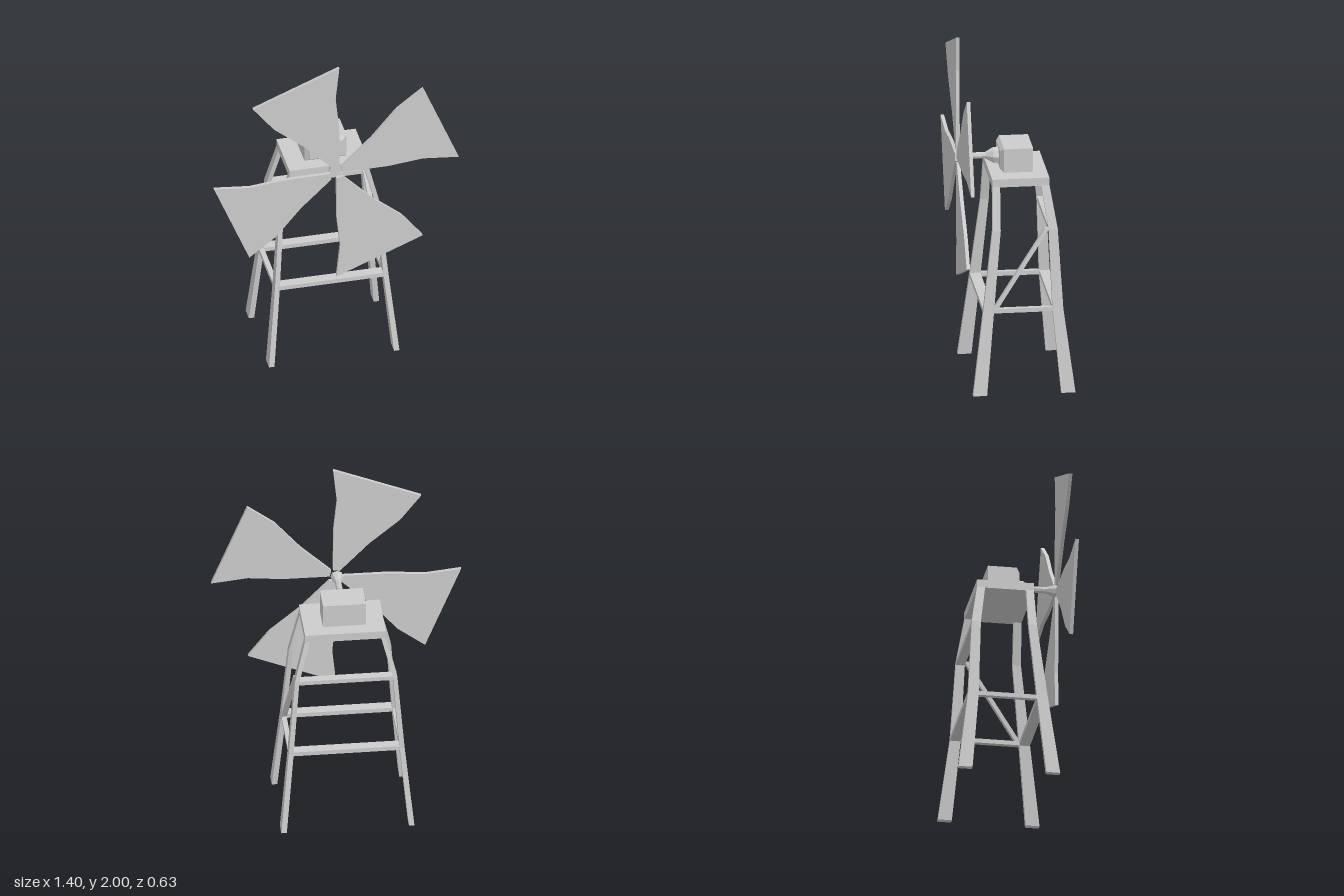
import * as THREE from 'three';

const material = new THREE.MeshStandardMaterial({ color: 0xcccccc, flatShading: true });

// Closed solid from equal-length rings, each counter-clockwise seen from the far end
function loft(rings) {
  const n = rings[0].length, index = [];
  rings.slice(1).forEach((_, i) => {
    for (let j = 0; j < n; j++) {
      const a = i * n + j, b = i * n + (j + 1) % n;
      index.push(a, b, b + n, a, b + n, a + n);
    }
  });
  const last = (rings.length - 1) * n;
  for (let j = 1; j < n - 1; j++) {
    index.push(0, j + 1, j, last, last + j, last + j + 1);
  }
  const g = new THREE.BufferGeometry();
  g.setAttribute('position', new THREE.Float32BufferAttribute(rings.flat(2), 3));
  g.setIndex(index);
  const flat = g.toNonIndexed();
  flat.computeVertexNormals();
  return flat;
}

// Rectangular rings lying across y or across z
const ringY = (y, x0, x1, z0, z1) => [[x0, y, z1], [x1, y, z1], [x1, y, z0], [x0, y, z0]];
const ringZ = (z, x0, x1, y0, y1) => [[x0, y0, z], [x1, y0, z], [x1, y1, z], [x0, y1, z]];

export function createModel() {
  const model = new THREE.Group();
  model.name = 'windmill';

  const add = (name, geometry, parent = model) => {
    const mesh = new THREE.Mesh(geometry, material);
    mesh.name = name;
    parent.add(mesh);
    return mesh;
  };
  const box = (name, x0, x1, y0, y1, z0, z1) => {
    const g = new THREE.BoxGeometry(x1 - x0, y1 - y0, z1 - z0);
    g.translate((x0 + x1) / 2, (y0 + y1) / 2, (z0 + z1) / 2);
    return add(name, g);
  };

  // Bent, tapering legs: height, inner x, outer x, low z, high z
  const legs = {
    frontLeg: [[0, 0.342, 0.373, 0.183, 0.261], [0.48, 0.297, 0.325, 0.138, 0.199],
      [0.94, 0.262, 0.287, 0.096, 0.143], [1.18, 0.2, 0.227, 0.092, 0.136]],
    backLeg: [[0, 0.342, 0.373, -0.313, -0.234], [0.48, 0.297, 0.325, -0.251, -0.191],
      [0.94, 0.262, 0.287, -0.224, -0.173], [1.18, 0.2, 0.227, -0.185, -0.139]],
  };
  for (const [name, sections] of Object.entries(legs)) {
    for (const side of [1, -1]) {
      add(name, loft(sections.map(([y, a, b, z0, z1]) =>
        side > 0 ? ringY(y, a, b, z0, z1) : ringY(y, -b, -a, z0, z1))));
    }
  }

  // Cross beams
  box('frontLowerBeam', -0.31, 0.31, 0.468, 0.493, 0.139, 0.199);
  box('backLowerBeam', -0.31, 0.31, 0.468, 0.493, -0.251, -0.192);
  box('backUpperBeam', -0.27, 0.27, 0.92, 0.944, -0.224, -0.174);
  for (const side of [1, -1]) {
    const x = side * 0.311;
    box('sideLowerBeam', x - 0.014, x + 0.014, 0.468, 0.493, -0.2, 0.15);
  }

  // Single diagonal brace on the left side
  add('diagonalBrace', loft([
    ringY(0.493, 0.296, 0.324, 0.115, 0.142),
    ringY(0.945, 0.263, 0.288, -0.178, -0.152),
  ]));

  // Platform and gear housing with bevelled front
  box('platform', -0.227, 0.226, 1.176, 1.223, -0.185, 0.136);
  add('housing', loft([
    ringZ(-0.107, -0.123, 0.117, 1.223, 1.361),
    ringZ(0.056, -0.123, 0.117, 1.223, 1.361),
    ringZ(0.076, -0.097, 0.091, 1.24, 1.341),
  ]));

  // Waisted drive shaft
  const profile = [[0, 0.07], [0.047, 0.07], [0.045, 0.105], [0.019, 0.148],
    [0.018, 0.235], [0.037, 0.294], [0, 0.294]].map(([r, z]) => new THREE.Vector2(r, z));
  const shaft = add('shaft', new THREE.LatheGeometry(profile, 8).rotateX(Math.PI / 2));
  shaft.position.set(-0.004, 1.29, 0);

  // Four flared blades, the upper one set slightly off centre
  const rotor = new THREE.Group();
  rotor.name = 'rotor';
  rotor.position.set(0, 1.292, 0.293);
  model.add(rotor);
  const outline = [[0.035, 0], [0.299, 0.002], [0.495, 0.022], [0.7, 0.001],
    [0.498, 0.494], [0.345, 0.376], [0.2, 0.203], [0.028, 0.038]];
  const bladeShape = new THREE.Shape(outline.map(([x, y]) => new THREE.Vector2(x, y)));
  const bladeGeometry = new THREE.ExtrudeGeometry(bladeShape, { depth: 0.02, bevelEnabled: false });
  for (let i = 0; i < 4; i++) {
    const blade = add('blade', bladeGeometry, rotor);
    blade.rotation.z = i * Math.PI / 2;
    if (i === 1) blade.position.set(0.018, 0.006, 0);
  }

  return model;
}
